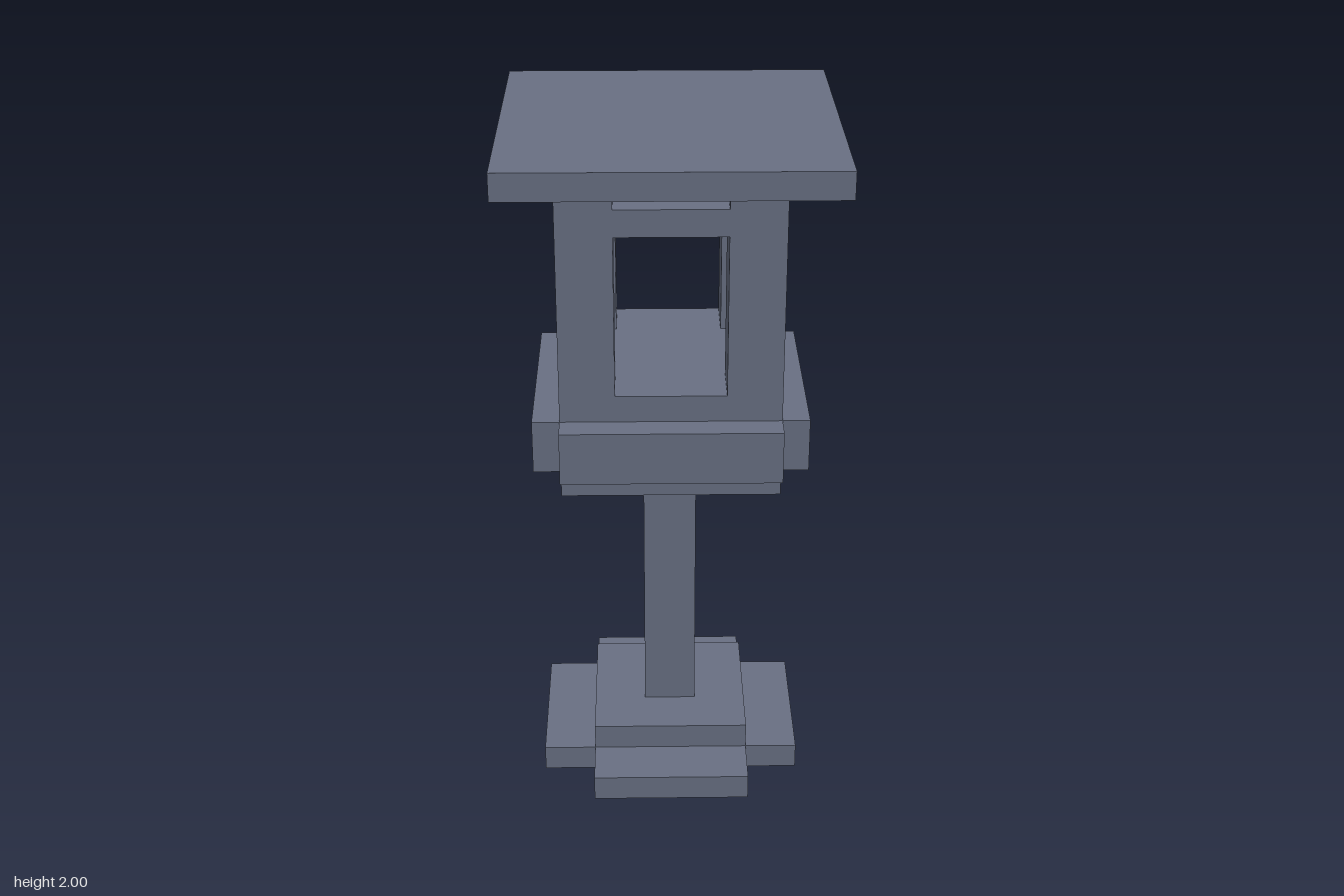
import * as THREE from 'three';

const U = 1 / 13; // module size: the lantern is 26 units tall

export function createModel() {
  const group = new THREE.Group();
  group.name = 'stoneLantern';
  const stone = new THREE.MeshStandardMaterial({ color: 0x697083 });
  stone.name = 'slateStone';

  const add = (name, geometry, x, y, z) => {
    const mesh = new THREE.Mesh(geometry, stone);
    mesh.name = name;
    mesh.position.set(x * U, y * U, z * U);
    group.add(mesh);
  };

  // Square block of half-width h between heights y0 and y1
  const block = (name, h, y0, y1, x = 0, z = 0) =>
    add(name, new THREE.BoxGeometry(2 * h * U, (y1 - y0) * U, 2 * h * U), x, (y0 + y1) / 2, z);

  // Square slab with its corners notched from half-width h in to n
  const notchedSlab = (name, h, n, y0, y1) => {
    const corners = [
      [h, -n], [h, n], [n, n], [n, h], [-n, h], [-n, n],
      [-h, n], [-h, -n], [-n, -n], [-n, -h], [n, -h], [n, -n],
    ];
    const shape = new THREE.Shape(corners.map(([x, z]) => new THREE.Vector2(x * U, z * U)));
    const geometry = new THREE.ExtrudeGeometry(shape, { depth: (y1 - y0) * U, bevelEnabled: false });
    geometry.rotateX(-Math.PI / 2);
    add(name, geometry, 0, y0, 0);
  };

  // Stepped foot and shaft
  notchedSlab('footSlab', 5, 3, 0, 1);
  block('footStep', 3, 1, 2);
  block('shaft', 1, 2, 13);

  // Platform with a projecting band
  block('platformBase', 4, 13, 14);
  notchedSlab('platformBand', 5, 4, 14, 16);
  block('chamberFloor', 4, 16, 17);

  // Lamp chamber: corner posts broken by the ceiling slab
  for (const x of [-3, 3]) {
    for (const z of [-3, 3]) {
      block('cornerPost', 1, 17, 23, x, z);
      block('roofSupport', 1, 24, 25, x, z);
    }
  }
  block('chamberCeiling', 4, 23, 24);

  // Flat roof
  block('roof', 6, 25, 26);

  return group;
}
